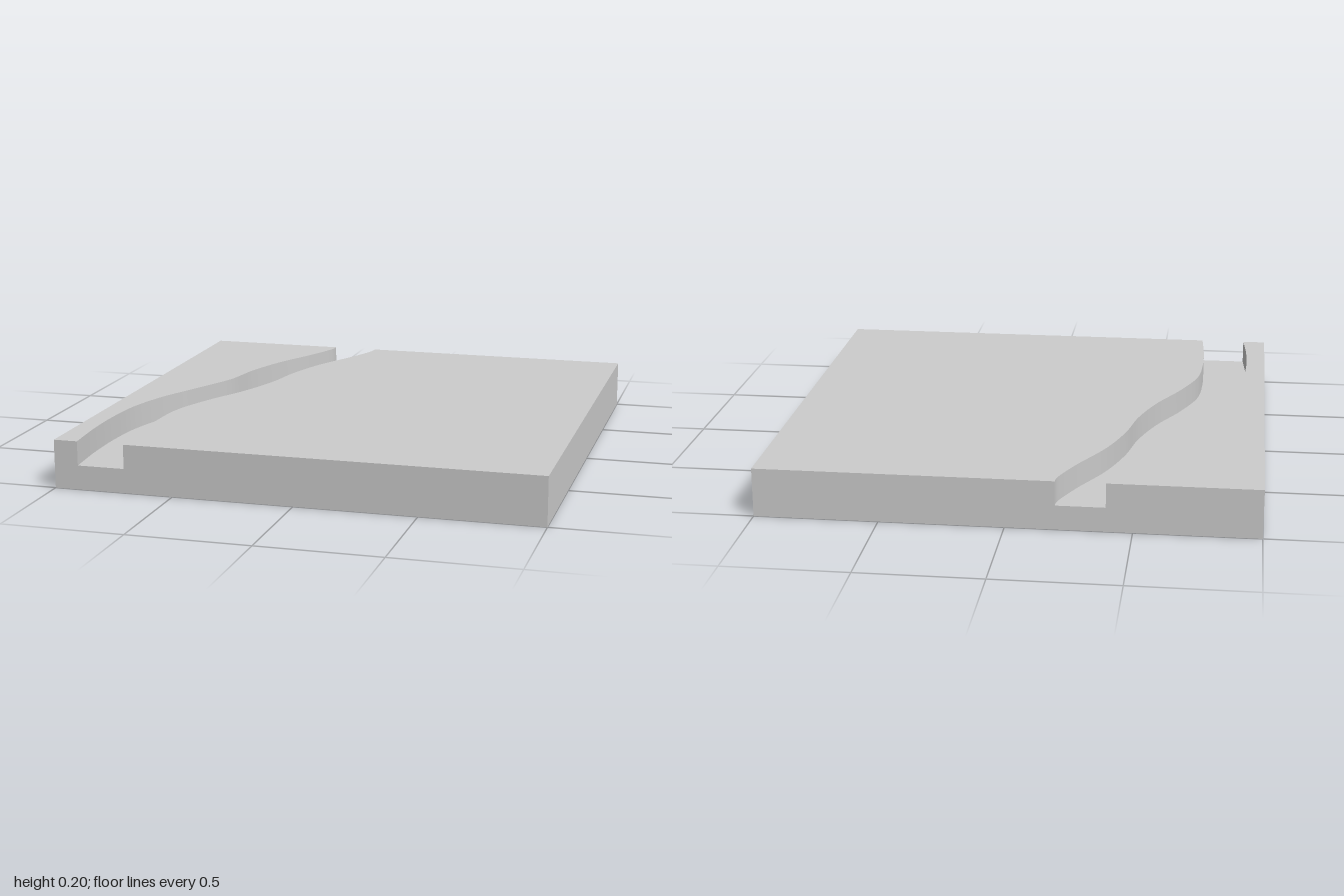
import * as THREE from 'three';
import { toCreasedNormals } from 'three/addons/utils/BufferGeometryUtils.js';

const FLOOR = 0.1, TOP = 0.2;
const material = new THREE.MeshStandardMaterial({ color: 0xcccccc });

// x of each channel wall at even steps of z from -1 (back) to 1 (front)
const leftWall = [-0.395, -0.463, -0.56, -0.628, -0.668, -0.755, -0.845, -0.9, -0.917, -0.915, -0.9];
const rightWall = [-0.197, -0.265, -0.363, -0.428, -0.468, -0.535, -0.63, -0.7, -0.717, -0.715, -0.703];

// Smooth wall line in plan; plan y is -z
function wallLine(xs) {
  const points = xs.map((x, i) => new THREE.Vector2(x, 1 - 0.2 * i));
  points.splice(1, 0, new THREE.Vector2(xs[0] - 0.01, 0.94));
  return new THREE.SplineCurve(points).getPoints(88);
}

// Raised bank between a wall line and the slab edge at x = edge
function bank(name, xs, edge) {
  const shape = new THREE.Shape([
    ...wallLine(xs),
    new THREE.Vector2(edge, -1),
    new THREE.Vector2(edge, 1),
  ]);
  const geometry = new THREE.ExtrudeGeometry(shape, { depth: TOP - FLOOR, bevelEnabled: false });
  geometry.rotateX(-Math.PI / 2).translate(0, FLOOR, 0);
  const mesh = new THREE.Mesh(toCreasedNormals(geometry, Math.PI / 6), material);
  mesh.name = name;
  return mesh;
}

export function createModel() {
  const group = new THREE.Group();
  group.name = 'riverTile';

  // Lower slab, whose top is the channel floor
  const base = new THREE.Mesh(new THREE.BoxGeometry(2, FLOOR, 2), material);
  base.position.y = FLOOR / 2;
  base.name = 'base';

  // Banks on both sides of the winding channel
  group.add(base, bank('narrowBank', leftWall, -1), bank('wideBank', rightWall, 1));
  return group;
}
